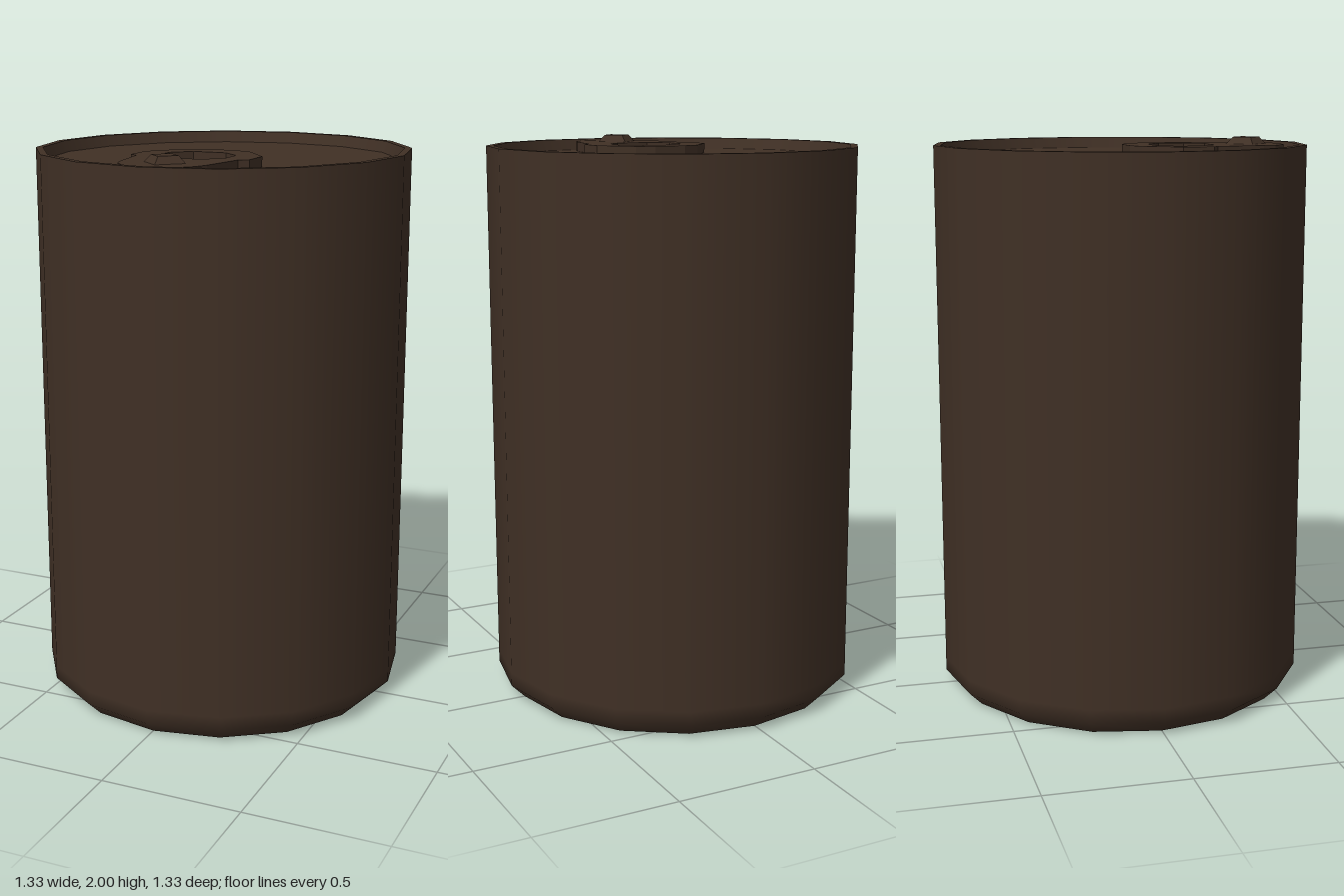
import * as THREE from 'three';

const SIDES = 16;
const FLOOR_Y = 1.94;
const TAB_Y = 1.975;

export function createModel() {
  const can = new THREE.Group();
  can.name = 'drinkCan';

  const brown = new THREE.MeshStandardMaterial({ color: 0x403025 });
  brown.name = 'darkBrown';

  const add = (name, geometry) => {
    const mesh = new THREE.Mesh(geometry, brown);
    mesh.name = name;
    can.add(mesh);
    return mesh;
  };
  // Each turned section keeps its own normals, so edges between sections stay sharp
  const turn = (name, profile) =>
    add(name, new THREE.LatheGeometry(profile.map(([r, y]) => new THREE.Vector2(r, y)), SIDES));

  // Can shell
  turn('base', [[0, 0], [0.615, 0]]);
  turn('body', [[0.615, 0], [0.665, 0.05], [0.665, 0.1], [0.665, 1.98]]);
  turn('rim', [[0.665, 1.98], [0.64, 1.98]]);
  turn('rimInnerWall', [[0.64, 1.98], [0.626, FLOOR_Y]]);
  turn('lid', [[0.626, FLOOR_Y], [0, FLOOR_Y]]);

  // Pull tab: half outline mirrored across x, with a finger hole
  const mirrored = (half) => [
    ...half.map(([x, z]) => new THREE.Vector2(x, z)),
    ...half.filter(([x]) => x > 0).reverse().map(([x, z]) => new THREE.Vector2(-x, z)),
  ];
  const outline = new THREE.Shape(mirrored([
    [0.06, 0.025], [0.125, 0.052], [0.22, 0.175], [0.22, 0.287], [0.188, 0.31],
    [0.157, 0.49], [0.14, 0.54], [0.105, 0.583], [0, 0.607],
  ]));
  outline.holes.push(new THREE.Path(mirrored([
    [0.062, 0.118], [0.125, 0.18], [0.125, 0.275], [0.062, 0.336],
  ])));
  const tabGeometry = new THREE.ExtrudeGeometry(outline, { depth: TAB_Y - FLOOR_Y, bevelEnabled: false });
  tabGeometry.rotateX(Math.PI / 2);
  add('pullTab', tabGeometry).position.y = TAB_Y;

  // Four-sided rivet holding the tab
  const rivetGeometry = new THREE.CylinderGeometry(0.05, 0.076, 2 - TAB_Y, 4).toNonIndexed();
  rivetGeometry.computeVertexNormals();
  add('rivet', rivetGeometry).position.set(0, (2 + TAB_Y) / 2, 0.475);

  return can;
}
